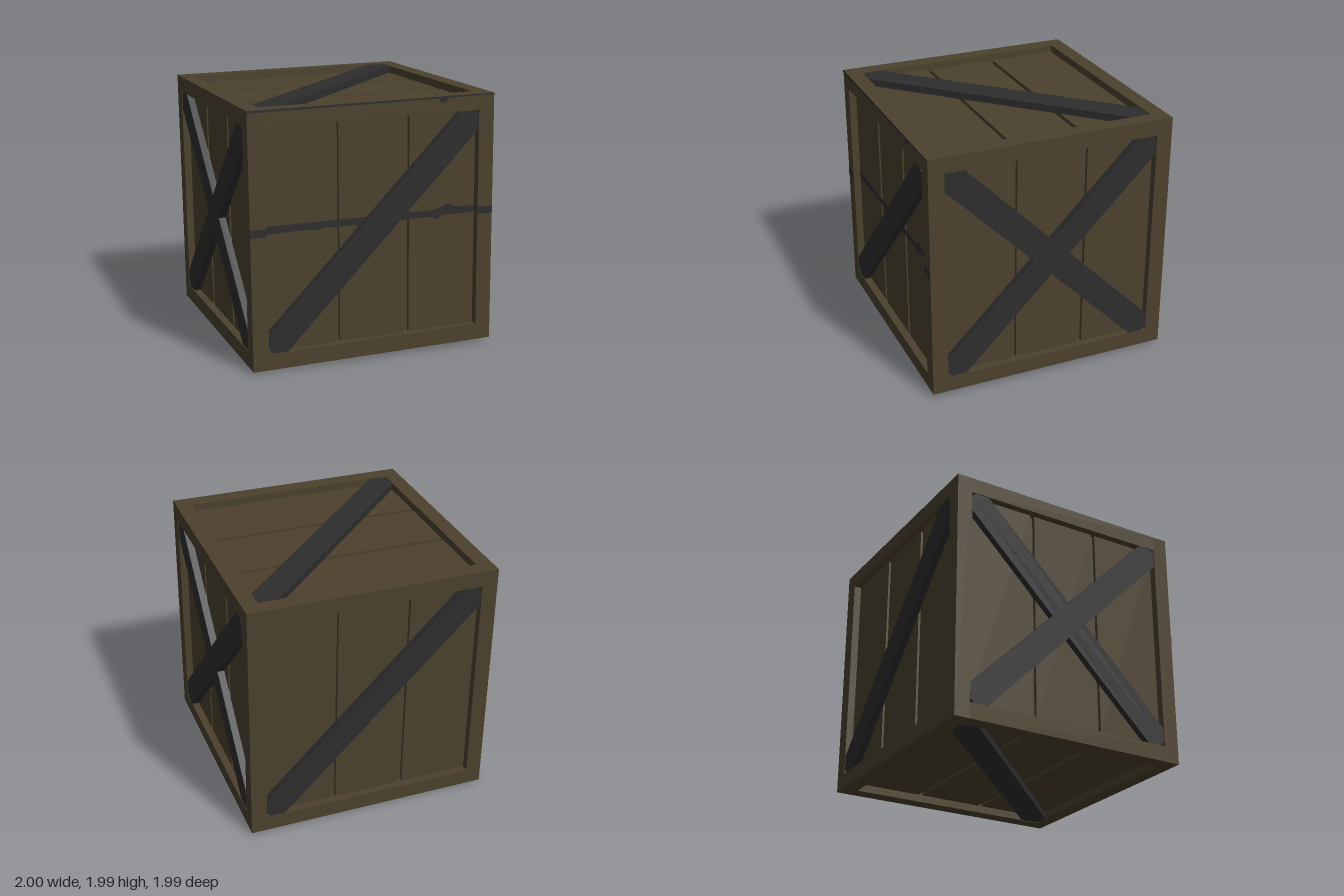
import * as THREE from 'three';

const H = 0.98;        // half size of the crate
const INNER = 0.855;   // half size of the recessed panel
const RECESS = 0.06;   // panel depth below the frame
const GROOVE = 0.03;   // gap depth between planks
const GAP = 0.036;     // gap width between planks

export function createModel() {
  const wood = new THREE.MeshStandardMaterial({ color: 0x4b412c });
  wood.name = 'brown wood';
  const metal = new THREE.MeshStandardMaterial({ color: 0x2d2d2e });
  metal.name = 'dark grey';

  const model = new THREE.Group();
  model.name = 'crate';
  const add = (parent, name, geometry, material, x = 0, y = 0, z = 0) => {
    const mesh = new THREE.Mesh(geometry, material);
    mesh.name = name;
    mesh.position.set(x, y, z);
    parent.add(mesh);
    return mesh;
  };
  const polygon = (points) => new THREE.Shape(points.map(([x, y]) => new THREE.Vector2(x, y)));

  // Solid core, seen only at the bottom of the plank gaps
  const core = 2 * (H - RECESS - GROOVE);
  add(model, 'core', new THREE.BoxGeometry(core, core, core), wood);

  // Twelve frame beams: uprights run full height, the rest fit between
  const beam = H - INNER, mid = (H + INNER) / 2;
  for (const a of [-mid, mid]) {
    for (const b of [-mid, mid]) {
      add(model, 'frameUpright', new THREE.BoxGeometry(beam, 2 * H, beam), wood, a, 0, b);
      add(model, 'frameCrossRail', new THREE.BoxGeometry(2 * INNER, beam, beam), wood, 0, a, b);
      add(model, 'frameSideRail', new THREE.BoxGeometry(beam, beam, 2 * INNER), wood, a, b, 0);
    }
  }

  // Diagonal brace with trimmed corners, lower left to upper right
  const q = INNER - 0.002, w = 0.147, c = 0.03;
  const half = [[-q, -q + w], [-q, -q + c], [-q + c, -q], [-q + w, -q]];
  const braceShape = polygon([...half, ...half.map(([x, y]) => [-x, -y])]);
  const braceGeometry = new THREE.ExtrudeGeometry(braceShape, { depth: RECESS, bevelEnabled: false });

  // One side: three planks and one or two braces
  const addSide = (name, rx, ry, crossed, sideways) => {
    const side = new THREE.Group();
    side.name = name;
    side.rotation.set(rx, ry, 0);
    model.add(side);
    const pitch = (2 * INNER) / 3;
    for (const i of [-1, 0, 1]) {
      const left = i === -1 ? -INNER : i * pitch - pitch / 2 + GAP / 2;
      const right = i === 1 ? INNER : i * pitch + pitch / 2 - GAP / 2;
      const plank = add(side, 'plank', new THREE.BoxGeometry(right - left, 2 * INNER, GROOVE), wood);
      const at = (left + right) / 2;
      plank.position.set(sideways ? 0 : at, sideways ? at : 0, H - RECESS - GROOVE / 2);
      if (sideways) plank.rotation.z = Math.PI / 2;
    }
    add(side, 'brace', braceGeometry, metal, 0, 0, H - RECESS - 0.003);
    if (crossed) {
      add(side, 'crossBrace', braceGeometry, metal, 0, 0, H - RECESS - 0.005).rotation.z = Math.PI / 2;
    }
    return side;
  };
  const R = Math.PI / 2;
  const front = addSide('frontSide', 0, 0, false, false);
  addSide('backSide', 0, 2 * R, false, false);
  addSide('plusXSide', 0, R, true, false);
  addSide('minusXSide', 0, -R, true, false);
  addSide('topSide', -R, 0, false, true);
  addSide('bottomSide', R, 0, false, true);

  // Ragged dark streak across the front, following the recess
  const plate = (points, z, name) =>
    add(front, name, new THREE.ExtrudeGeometry(polygon(points), { depth: 0.003, bevelEnabled: false }), metal, 0, 0, z);
  plate([
    [-INNER, 0.05], [-0.5, 0.053], [-0.44, 0.036], [-0.4, 0.053], [-0.14, 0.05], [-0.1, 0.025], [0, 0.06],
    [0.24, 0.045], [0.48, 0.045], [0.53, 0.022], [0.58, 0.05], [INNER, 0.048],
    [INNER, 0.1], [0.7, 0.105], [0.63, 0.135], [0.56, 0.11], [0.46, 0.095], [0.24, 0.1], [-0.3, 0.105], [-INNER, 0.11],
  ], H - RECESS, 'panelStreak');
  plate([[-H, 0.05], [-INNER, 0.05], [-INNER, 0.108], [-H, 0.11]], H, 'frameStreakMinusX');
  plate([[INNER, 0.045], [H, 0.042], [H, 0.095], [INNER, 0.1]], H, 'frameStreakPlusX');

  // Thin streak with a drip along the top front edge
  plate([[-H, 0.962], [0.51, 0.966], [0.54, 0.935], [0.57, 0.935], [0.6, 0.966], [H, 0.97], [H, H], [-H, H]], H, 'topEdgeStreak');

  // The crate sits very slightly crooked
  model.rotation.set(-0.006, -0.01, 0.01);
  model.position.y = 0.996;
  const root = new THREE.Group();
  root.name = 'woodenCrate';
  root.add(model);
  return root;
}
